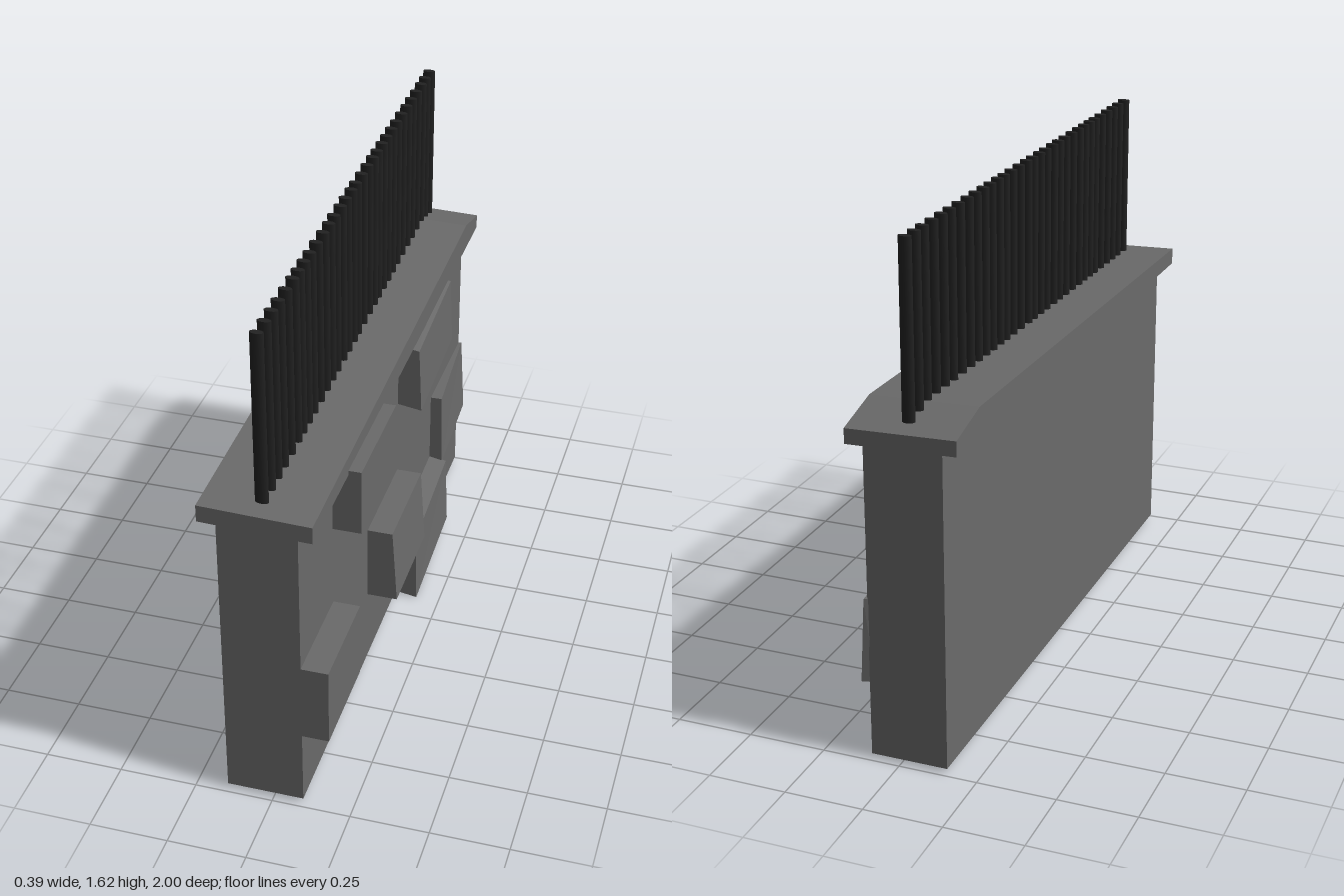
import * as THREE from 'three';

const stone = new THREE.MeshStandardMaterial({ color: 0x6a6a6a, flatShading: true });
const iron = new THREE.MeshStandardMaterial({ color: 0x222222 });

// Solid between two matching rings of four corners, [x, y, z] each,
// listed counter-clockwise as seen from the outer side.
function loft(inner, outer) {
  const p = [...inner, ...outer];
  const quads = [[3, 2, 1, 0], [4, 5, 6, 7]];
  for (let i = 0; i < 4; i++) {
    const j = (i + 1) % 4;
    quads.push([i, j, j + 4, i + 4]);
  }
  const positions = quads.flatMap(([a, b, c, d]) => [a, b, c, a, c, d].flatMap((k) => p[k]));
  const geometry = new THREE.BufferGeometry();
  geometry.setAttribute('position', new THREE.Float32BufferAttribute(positions, 3));
  geometry.computeVertexNormals();
  return geometry;
}

export function createModel() {
  const model = new THREE.Group();
  const add = (name, geometry, material = stone) => {
    const mesh = new THREE.Mesh(geometry, material);
    mesh.name = name;
    model.add(mesh);
    return mesh;
  };

  // Wall slab
  add('wall', new THREE.BoxGeometry(0.245, 1.02, 1.965)).position.set(-0.0275, 0.53, -0.0025);

  // Coping: long slope up to a ridge near the back, tilted slightly towards +x
  const profile = new THREE.Shape([
    [-1, 1.025], [1, 1.03], [1, 1.078], [0.83, 1.12], [-1, 1.08],
  ].map(([u, v]) => new THREE.Vector2(u, v)));
  const coping = new THREE.ExtrudeGeometry(profile, { depth: 0.345, bevelEnabled: false });
  coping.rotateY(Math.PI / 2).translate(-0.2, 0, 0);
  const pos = coping.attributes.position;
  for (let i = 0; i < pos.count; i++) {
    pos.setY(i, pos.getY(i) - 0.03 * (pos.getX(i) + 0.2));
  }
  coping.computeVertexNormals();
  add('coping', coping);

  // Raised stones on the +x face. front/back: z of each end, y low/high and x low/high there;
  // drop: how far the outer face sags below its root.
  const stones = [
    { front: [0.645, 0.81, 1.03, 0.185, 0.185], back: [0.26, 0.81, 1.03, 0.185, 0.185], drop: 0 },
    { front: [-0.105, 0.785, 1.01, 0.175, 0.165], back: [-0.57, 0.80, 1.025, 0.165, 0.155], drop: 0.015 },
    { front: [0.98, 0.275, 0.535, 0.18, 0.18], back: [0.645, 0.275, 0.535, 0.18, 0.18], drop: 0 },
    { front: [0.26, 0.275, 0.535, 0.195, 0.178], back: [-0.105, 0.275, 0.535, 0.195, 0.178], drop: 0 },
    { front: [-0.105, 0.005, 0.26, 0.17, 0.165], back: [-0.57, 0.03, 0.28, 0.165, 0.155], drop: 0.015 },
    { front: [-0.565, 0.275, 0.545, 0.14, 0.135], back: [-0.99, 0.262, 0.535, 0.12, 0.105], drop: 0 },
  ];
  for (const { front: f, back: b, drop } of stones) {
    const outer = [[f[3], f[1], f[0]], [b[3], b[1], b[0]], [b[4], b[2], b[0]], [f[4], f[2], f[0]]];
    const inner = outer.map(([, y, z]) => [0.08, y + drop, Math.max(z, -0.98)]);
    add('raisedStone', loft(inner, outer));
  }

  // Row of oval railings, slightly uneven spacing
  const railZ = [
    0.925, 0.86, 0.80, 0.74, 0.675, 0.61, 0.56, 0.505, 0.45, 0.385, 0.32, 0.26, 0.205, 0.14, 0.085, 0.025,
    -0.025, -0.09, -0.155, -0.215, -0.265, -0.325, -0.38, -0.44, -0.50, -0.565, -0.63, -0.69, -0.755,
    -0.82, -0.875, -0.935,
  ];
  const bar = new THREE.CylinderGeometry(1, 1, 0.58, 12).scale(0.021, 1, 0.011);
  for (const z of railZ) add('railing', bar, iron).position.set(-0.027, 1.34, z);

  return model;
}
